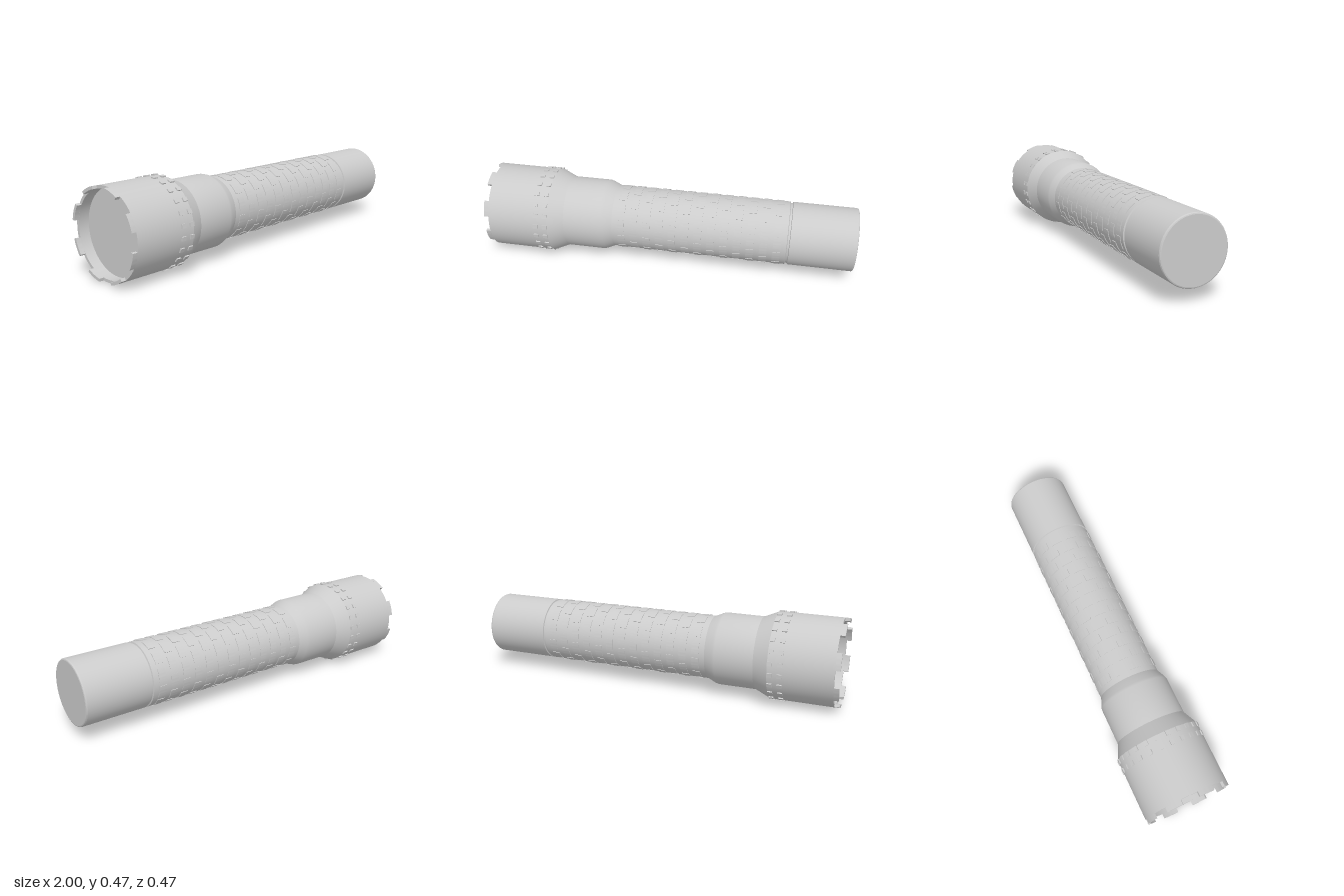
import * as THREE from 'three';
import { toCreasedNormals } from 'three/addons/utils/BufferGeometryUtils.js';

const AXIS_Y = 0.237;
const SEGMENTS = 64;
const deg = THREE.MathUtils.degToRad;

export function createModel() {
  const model = new THREE.Group();
  model.name = 'flashlight';
  const material = new THREE.MeshStandardMaterial({ color: 0xcccccc });

  function add(parent, name, geometry) {
    const mesh = new THREE.Mesh(geometry, material);
    mesh.name = name;
    parent.add(mesh);
    return mesh;
  }

  function group(name) {
    const g = new THREE.Group();
    g.name = name;
    body.add(g);
    return g;
  }

  // Turned part along x, profile given as [x, radius]
  function turned(name, profile) {
    const points = profile.map(([x, r]) => new THREE.Vector2(r, x));
    const geometry = new THREE.LatheGeometry(points, SEGMENTS);
    geometry.rotateZ(-Math.PI / 2);
    add(body, name, toCreasedNormals(geometry, deg(20)));
  }

  // Curved block wrapped around the x axis; angles are elevations from +z
  function sectorGeometry(x0, x1, rIn, rOut, width, curveSegments) {
    const a = deg(width / 2);
    const shape = new THREE.Shape();
    shape.absarc(0, 0, rOut, Math.PI - a, Math.PI + a, false);
    shape.absarc(0, 0, rIn, Math.PI + a, Math.PI - a, true);
    shape.closePath();
    const geometry = new THREE.ExtrudeGeometry(shape, { depth: x1 - x0, bevelEnabled: false, curveSegments });
    geometry.rotateY(Math.PI / 2);
    geometry.translate(x0, 0, 0);
    return toCreasedNormals(geometry, deg(25));
  }

  function sectorRing(parent, name, geometry, count, offset) {
    for (let i = 0; i < count; i++) {
      add(parent, name, geometry).rotation.x = -deg(offset + (i * 360) / count);
    }
  }

  const body = new THREE.Group();
  body.name = 'body';
  body.position.y = AXIS_Y;
  model.add(body);

  // Head with recessed lens, neck and tapers
  turned('head', [
    [-0.92, 0], [-0.92, 0.215], [-0.975, 0.215], [-0.975, 0.23],
    [-0.644, 0.23], [-0.564, 0.194], [-0.36, 0.194], [-0.345, 0.19],
    [-0.30, 0.17],
  ]);

  // Grip tube ending in a narrow groove
  turned('grip', [[-0.30, 0.17], [0.64, 0.17], [0.643, 0.163], [0.655, 0.163]]);

  // Closed tail cap with softened rim
  turned('tailCap', [
    [0.652, 0.16], [0.655, 0.17], [0.992, 0.17], [0.998, 0.167], [1, 0.162], [1, 0],
  ]);

  // Crenellated front rim
  const rim = group('frontRim');
  sectorRing(rim, 'rimTooth', sectorGeometry(-1, -0.974, 0.215, 0.23, 22, 6), 8, -20);

  // Two rows of raised studs around the head
  const studs = group('headStuds');
  for (const x of [-0.708, -0.657]) {
    const stud = new THREE.BoxGeometry(0.025, 0.012, 0.021);
    stud.translate(x, 0.230, 0);
    sectorRing(studs, 'stud', stud, 24, 7.5);
  }

  // Staggered rows of shallow grip tiles
  const tiles = group('gripTiles');
  for (let row = 0; row < 13; row++) {
    const x = -0.25 + row * 0.07;
    const tile = sectorGeometry(x - 0.02, x + 0.02, 0.165, 0.173, 22, 5);
    sectorRing(tiles, 'gripTile', tile, 12, row % 2 ? 0 : 15);
  }

  return model;
}
